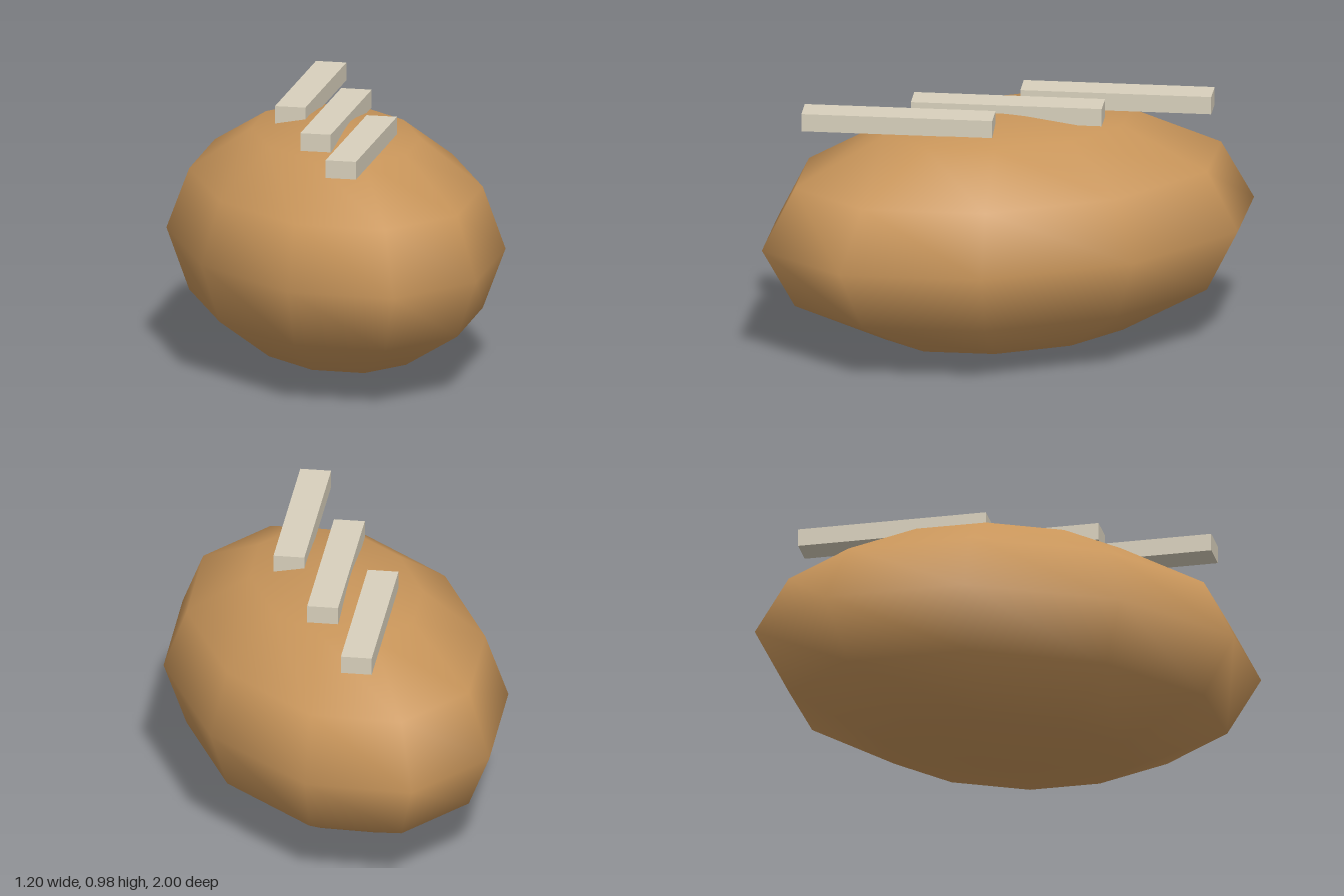
import * as THREE from 'three';

export function createModel() {
  const model = new THREE.Group();
  model.name = 'loaf';

  const crust = new THREE.MeshStandardMaterial({ color: 0xc8955a });
  crust.name = 'golden crust';
  const cream = new THREE.MeshStandardMaterial({ color: 0xd8d0bc });
  cream.name = 'pale cream';

  // Loaf body: coarse ellipsoid with smooth normals, a vertex column at each tip (z = ±1)
  const bodyGeometry = new THREE.SphereGeometry(1, 10, 6, Math.PI / 2);
  bodyGeometry.scale(0.631, 0.48, 1);
  const body = new THREE.Mesh(bodyGeometry, crust);
  body.name = 'loafBody';
  body.position.y = 0.48;
  model.add(body);

  // Three slanted score strips laid across the top
  const stripGeometry = new THREE.BoxGeometry(0.12, 0.07, 0.74);
  ['back', 'middle', 'front'].forEach((place, i) => {
    const strip = new THREE.Mesh(stripGeometry, cream);
    strip.name = `${place}ScoreStrip`;
    strip.position.set(0, 0.947, (i - 1) * 0.445);
    strip.rotation.y = -0.436;
    model.add(strip);
  });

  return model;
}
